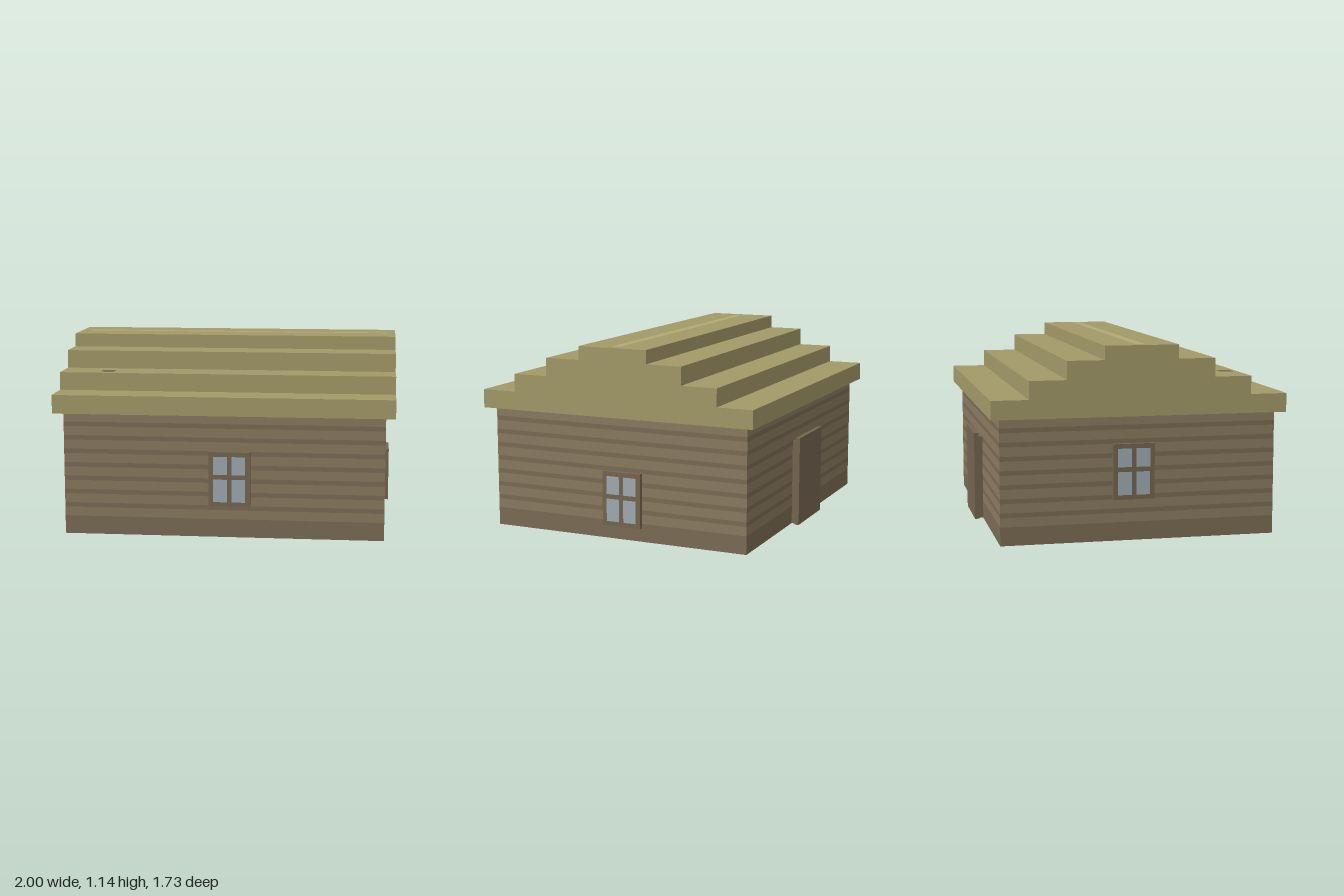
import * as THREE from 'three';

const paint = (color) => new THREE.MeshStandardMaterial({ color });
const logLight = paint(0x8b7b60), logDark = paint(0x7b6c54), thatch = paint(0xa39a68);
const ridgeColor = paint(0xb0a874), frameWood = paint(0x75664f), glass = paint(0x9fabb3);
const doorWood = paint(0x75654f);

function add(parent, name, geometry, material, x, y, z) {
  const mesh = new THREE.Mesh(geometry, material);
  mesh.name = name;
  mesh.position.set(x, y, z);
  parent.add(mesh);
  return mesh;
}

// One closed box whose sides are split into rows of light and dark logs
function makeWalls(width, height, depth, rows) {
  const geometry = new THREE.BoxGeometry(width, height, depth, 1, rows, 1);
  geometry.clearGroups();
  let start = 0;
  for (const faceRows of [rows, rows, 1, 1, rows, rows]) {
    for (let row = 0; row < faceRows; row++, start += 6) {
      const dark = faceRows === 1 || row % 3 === 2 || row >= rows - 3;
      geometry.addGroup(start, 6, dark ? 1 : 0);
    }
  }
  return geometry;
}

// Four-pane window facing +z, its back on z = 0
function makeWindow(name) {
  const win = new THREE.Group();
  win.name = name;
  add(win, 'windowFrame', new THREE.BoxGeometry(0.243, 0.324, 0.028), frameWood, 0, 0, 0.014);
  for (const x of [-0.054, 0.054]) {
    for (const [y, h] of [[-0.068, 0.135], [0.081, 0.108]]) {
      add(win, 'windowPane', new THREE.PlaneGeometry(0.081, h), glass, x, y, 0.03);
    }
  }
  return win;
}

export function createModel() {
  const house = new THREE.Group();
  house.name = 'house';

  // Log walls
  add(house, 'walls', makeWalls(1.89, 0.73, 1.622, 27), [logLight, logDark], 0, 0.365, 0);

  // Stepped roof, extruded along x from its gable outline
  const steps = [[0.865, 0.73, 0.84], [0.649, 0.84, 0.946], [0.432, 0.946, 1.054], [0.216, 1.054, 1.135]];
  const half = steps.flatMap(([z, low, high]) => [new THREE.Vector2(z, low), new THREE.Vector2(z, high)]);
  const mirrored = half.map((p) => new THREE.Vector2(-p.x, p.y)).reverse();
  const roofGeometry = new THREE.ExtrudeGeometry(new THREE.Shape([...half, ...mirrored]), {
    depth: 2, bevelEnabled: false,
  });
  roofGeometry.translate(0, 0, -1).rotateY(Math.PI / 2);
  add(house, 'roof', roofGeometry, thatch, 0, 0, 0);

  // Pale ridge strip and small smoke vent lying on the roof
  const flat = (w, d) => new THREE.PlaneGeometry(w, d).rotateX(-Math.PI / 2);
  add(house, 'ridgeStrip', flat(1.89, 0.054), ridgeColor, 0, 1.137, 0);
  add(house, 'smokeVent', flat(0.081, 0.081), frameWood, -0.72, 0.948, 0.577);

  // Windows on the front and both gable ends
  const windows = [
    ['frontWindow', 0.04, 0.352, 0.811, 0],
    ['leftWindow', 0.945, 0.245, -0.038, Math.PI / 2],
    ['rightWindow', -0.945, 0.407, -0.038, -Math.PI / 2],
  ];
  for (const [name, x, y, z, turn] of windows) {
    const win = makeWindow(name);
    win.position.set(x, y, z);
    win.rotation.y = turn;
    house.add(win);
  }

  // Back door: a narrower frame behind a larger slab
  add(house, 'doorFrame', new THREE.BoxGeometry(0.36, 0.514, 0.027), frameWood, 0.014, 0.257, -0.8245);
  add(house, 'door', new THREE.BoxGeometry(0.41, 0.54, 0.027), doorWood, 0.014, 0.27, -0.8515);

  return house;
}
